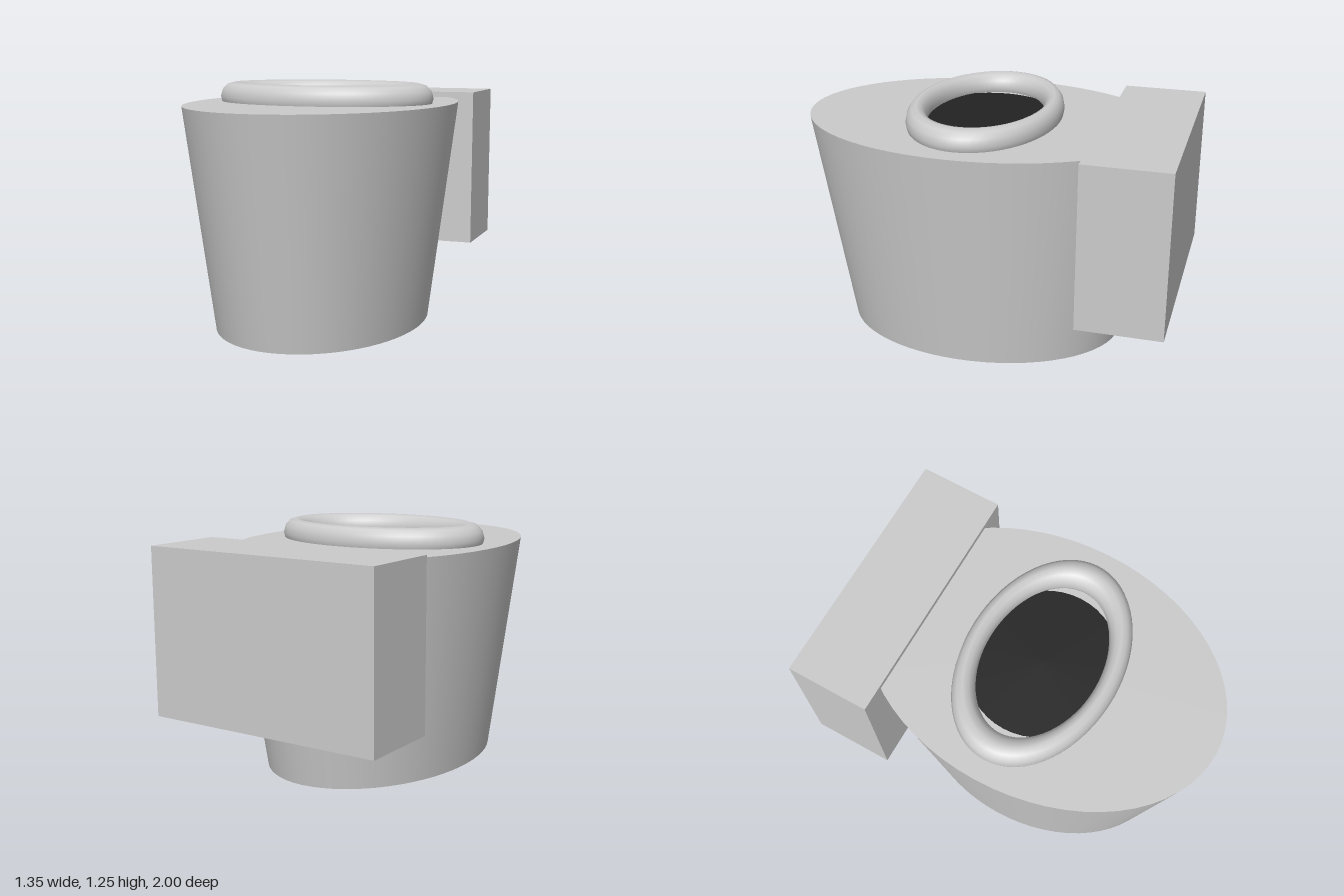
import * as THREE from 'three';

const CENTRE_Z = 0.06;

export function createModel() {
  const model = new THREE.Group();
  const grey = new THREE.MeshStandardMaterial({ color: 0xcccccc });
  const dark = new THREE.MeshStandardMaterial({ color: 0x222222 });

  function add(name, geometry, material, x, y, z) {
    const mesh = new THREE.Mesh(geometry, material);
    mesh.name = name;
    mesh.position.set(x, y, z);
    model.add(mesh);
    return mesh;
  }

  // Tapered oval bowl standing on the floor
  const bowl = new THREE.CylinderGeometry(0.675, 0.533, 1.15, 64);
  bowl.scale(1, 1, 0.94 / 0.675);
  add('bowl', bowl, grey, 0, 0.575, CENTRE_Z);

  // Box tank overlapping the back of the bowl
  add('tank', new THREE.BoxGeometry(1.28, 0.85, 0.435), grey, 0, 0.755, -0.7825);

  // Oval seat ring, partly sunk into the bowl top
  const seat = new THREE.TorusGeometry(0.5, 0.076, 12, 64);
  seat.rotateX(-Math.PI / 2);
  seat.scale(1, 1, 0.68);
  add('seat', seat, grey, 0, 1.175, CENTRE_Z - 0.005);

  // Dark opening inside the seat
  const opening = new THREE.CylinderGeometry(0.39, 0.39, 0.02, 48);
  opening.scale(1, 1, 0.95);
  add('opening', opening, dark, 0, 1.146, CENTRE_Z - 0.005);

  return model;
}
